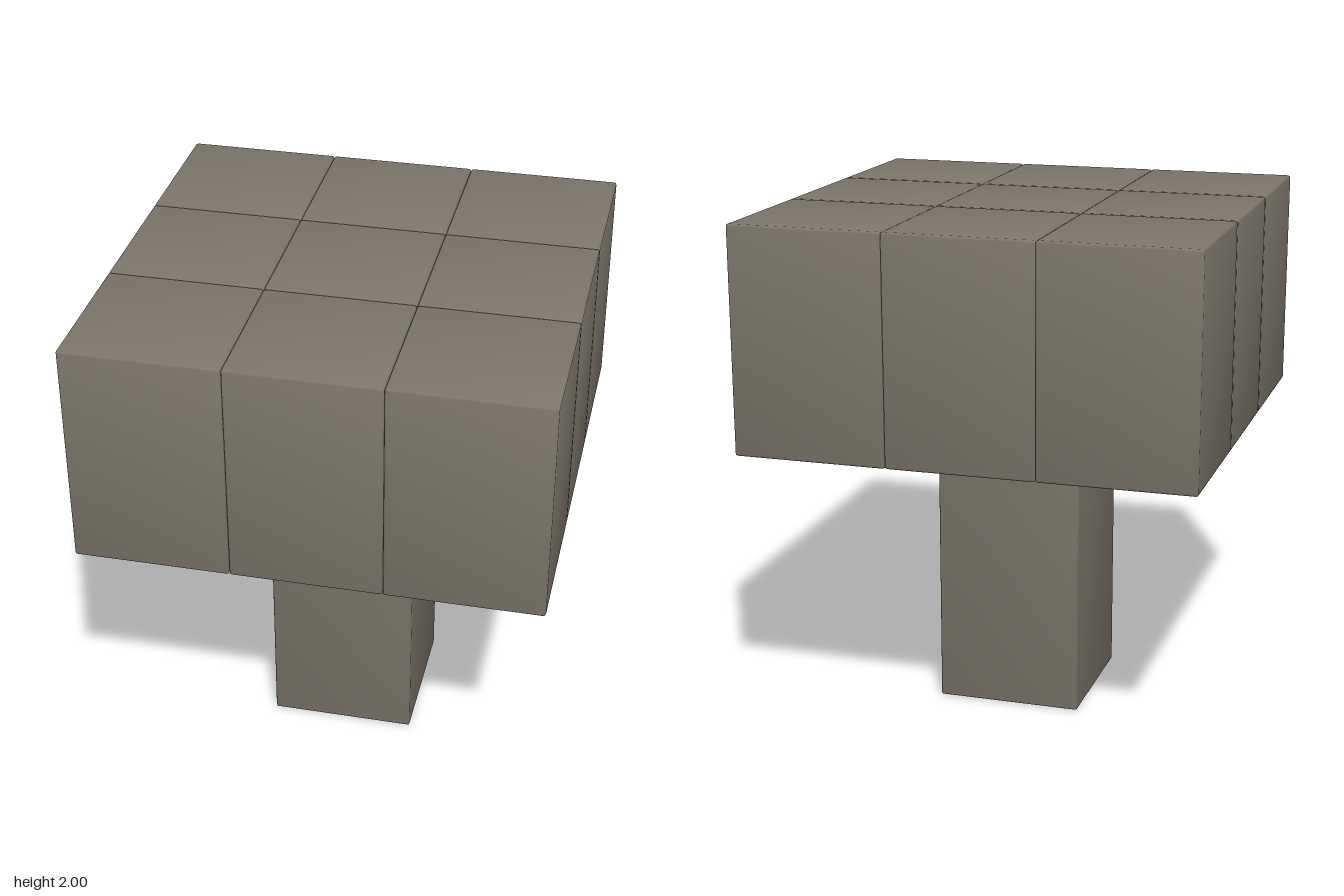
import * as THREE from 'three';
import { RoundedBoxGeometry } from 'three/addons/geometries/RoundedBoxGeometry.js';

const stone = new THREE.MeshStandardMaterial({ color: 0x7c766a });
stone.name = 'warm grey stone';

// Chamfered block spanning two corners; normals lean outward to soften the edges
function block(name, min, max) {
  const size = max.map((v, i) => v - min[i]);
  const geometry = new RoundedBoxGeometry(size[0], size[1], size[2], 1, 0.009);
  const p = geometry.attributes.position;
  const n = geometry.attributes.normal;
  const lean = 0.2;
  const v = new THREE.Vector3();
  for (let i = 0; i < p.count; i++) {
    v.fromBufferAttribute(n, i);
    v.x += lean * Math.sign(p.getX(i));
    v.y += lean * Math.sign(p.getY(i));
    v.z += lean * Math.sign(p.getZ(i));
    v.normalize();
    n.setXYZ(i, v.x, v.y, v.z);
  }
  const mesh = new THREE.Mesh(geometry, stone);
  mesh.name = name;
  mesh.position.set(...max.map((m, i) => (m + min[i]) / 2));
  return mesh;
}

export function createModel() {
  const model = new THREE.Group();
  model.name = 'blockPillar';

  // Seams of the three by three grid
  const seams = [-0.876, -0.285, 0.285, 0.876];

  // Ring of eight blocks around one tall centre column
  for (let i = 0; i < 3; i++) {
    for (let k = 0; k < 3; k++) {
      const centre = i === 1 && k === 1;
      model.add(block(
        centre ? 'column' : `capBlock_${i}_${k}`,
        [seams[i], centre ? 0 : 1.13, seams[k]],
        [seams[i + 1], 2, seams[k + 1]],
      ));
    }
  }
  return model;
}
